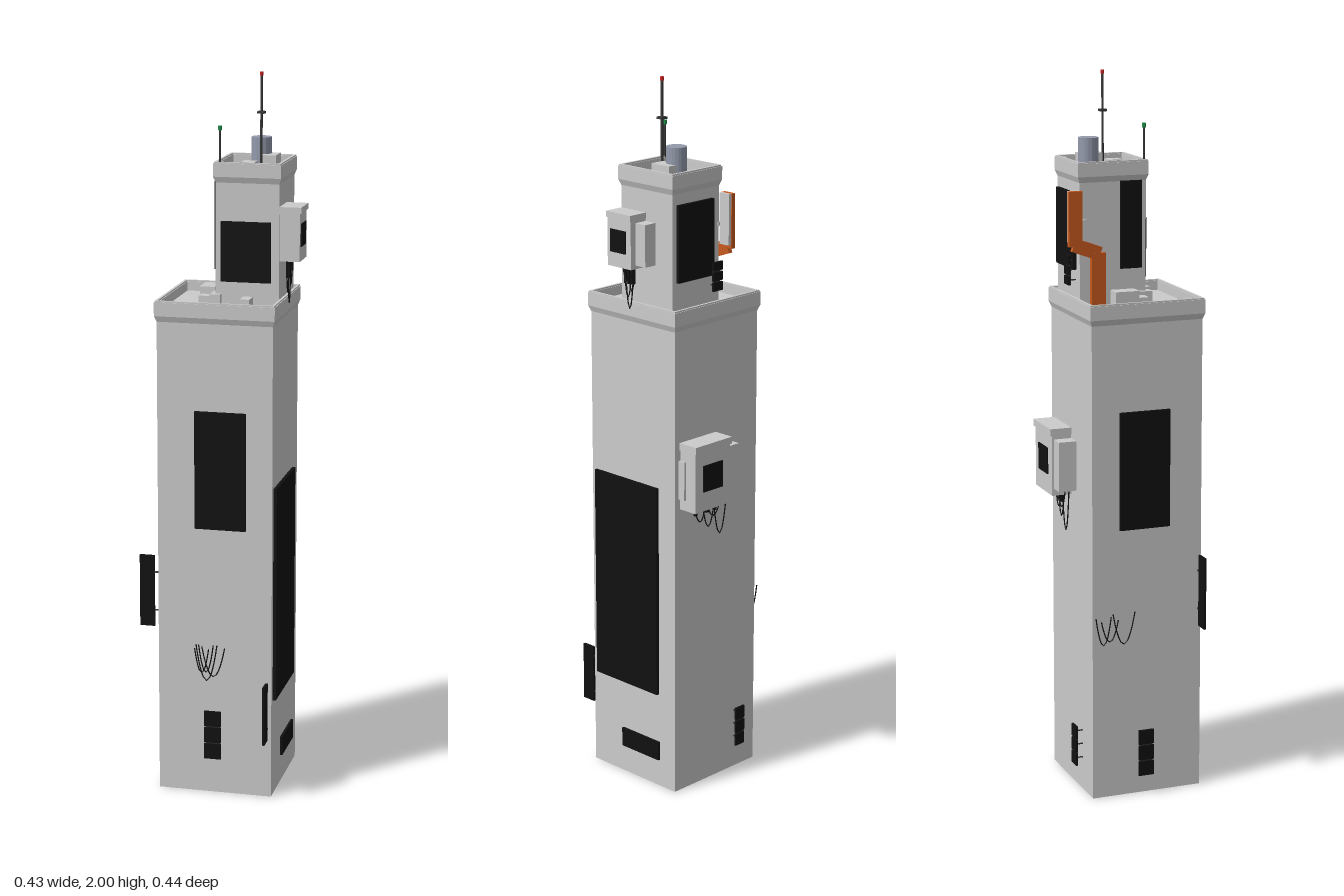
import * as THREE from 'three';

const mat = (color) => new THREE.MeshStandardMaterial({ color, flatShading: true });
const grey = mat(0xcccccc), black = mat(0x111111), dark = mat(0x383838);
const orange = mat(0xc85a1e), steel = mat(0x949aac), red = mat(0xcc2222), green = mat(0x1f8f4a);

export function createModel() {
  const model = new THREE.Group();

  const add = (name, geometry, material, parent = model) => {
    const m = new THREE.Mesh(geometry, material);
    m.name = name;
    parent.add(m);
    return m;
  };
  // Box given by its extents on each axis
  const box = (name, x0, x1, y0, y1, z0, z1, material = grey, parent = model) => {
    const m = add(name, new THREE.BoxGeometry(x1 - x0, y1 - y0, z1 - z0), material, parent);
    m.position.set((x0 + x1) / 2, (y0 + y1) / 2, (z0 + z1) / 2);
    return m;
  };
  const rod = (name, x, z, y0, y1, r, material, sides = 8) => {
    const m = add(name, new THREE.CylinderGeometry(r, r, y1 - y0, sides), material);
    m.position.set(x, (y0 + y1) / 2, z);
    return m;
  };

  // Square shaft with a flared rim around a sunken roof
  const tower = (name, x0, x1, z0, z1, y0, y1, rim, flare) => {
    const g = new THREE.Group();
    g.name = name;
    model.add(g);
    box('shaft', x0, x1, y0, y1 - 0.03, z0, z1, grey, g);
    const w = x1 - x0, d = z1 - z0;
    const ring = (out, inset) => {
      const s = new THREE.Shape();
      const rect = (p, o) => {
        p.moveTo(-w / 2 - o, -d / 2 - o);
        p.lineTo(w / 2 + o, -d / 2 - o);
        p.lineTo(w / 2 + o, d / 2 + o);
        p.lineTo(-w / 2 - o, d / 2 + o);
        p.closePath();
      };
      rect(s, out);
      const hole = new THREE.Path();
      rect(hole, -inset);
      s.holes.push(hole);
      return s;
    };
    const extrude = (part, shape, a, b) => {
      const geo = new THREE.ExtrudeGeometry(shape, { depth: b - a, bevelEnabled: false });
      geo.rotateX(-Math.PI / 2);
      const m = add(part, geo, grey, g);
      m.position.set((x0 + x1) / 2, a, (z0 + z1) / 2);
      return m;
    };
    extrude('parapet', ring(flare, 0.005), y1 - rim, y1 - 0.004);
    extrude('coping', ring(flare - 0.002, 0.003), y1 - 0.004, y1);
    // Sloped underside of the rim: outer corners move in at the bottom
    const slope = new THREE.BoxGeometry(w + 2 * flare, 0.016, d + 2 * flare);
    const p = slope.attributes.position;
    for (let i = 0; i < p.count; i++) {
      if (p.getY(i) < 0) p.setXYZ(i, Math.sign(p.getX(i)) * w / 2, p.getY(i), Math.sign(p.getZ(i)) * d / 2);
    }
    add('rimSlope', slope, grey, g).position.set((x0 + x1) / 2, y1 - rim - 0.008, (z0 + z1) / 2);
  };
  tower('mainTower', -0.161, 0.161, -0.159, 0.162, 0, 1.4, 0.042, 0.006);
  tower('upperTower', -0.024, 0.152, -0.142, 0.05, 1.36, 1.765, 0.04, 0.006);

  // Flat screens on the walls
  [
    ['frontScreen', -0.055, 0.088, 0.77, 1.10, 0.16, 0.171],
    ['rightScreen', 0.16, 0.17, 0.28, 0.89, -0.097, 0.145],
    ['rightLowScreen', 0.16, 0.168, 0.08, 0.135, -0.1, 0.045],
    ['leftScreen', -0.169, -0.16, 0.77, 1.10, -0.08, 0.066],
    ['upperFrontScreen', -0.008, 0.13, 1.44, 1.605, 0.045, 0.058],
    ['upperBackScreen', 0.003, 0.138, 1.47, 1.68, -0.152, -0.14],
    ['upperLeftScreen', -0.031, -0.02, 1.47, 1.71, -0.025, 0.036],
  ].forEach((s) => box(...s, black));

  // Thin blade signs
  box('rightBladeSign', 0.147, 0.154, 0.172, 0.34, 0.176, 0.217, black);
  box('leftBladeSign', -0.216, -0.174, 0.475, 0.68, 0.15, 0.156, black);
  for (const y of [0.2, 0.31]) box('rightBladeBracket', 0.149, 0.152, y, y + 0.004, 0.16, 0.178, dark);
  for (const y of [0.52, 0.63]) box('leftBladeBracket', -0.176, -0.16, y, y + 0.004, 0.1515, 0.1545, dark);

  // Stacked signs: three cells held off the wall by struts, built facing +z
  const stackedSign = (name, x, y, z, turn, width, cell) => {
    const g = new THREE.Group();
    g.name = name;
    for (let i = 0; i < 3; i++) {
      const y0 = (i - 1.5) * cell;
      box('signCell', -width / 2, width / 2, y0 + 0.002, y0 + cell - 0.002, -0.003, 0.003, black, g);
      box('strut', -0.0015, 0.0015, y0 + cell / 2 - 0.0015, y0 + cell / 2 + 0.0015, -0.026, -0.002, dark, g);
    }
    box('backing', -width / 2 + 0.004, width / 2 - 0.004, -1.4 * cell, 1.4 * cell, -0.005, -0.003, dark, g);
    g.position.set(x, y, z);
    g.rotation.y = turn;
    model.add(g);
  };
  stackedSign('frontStackedSign', -0.001, 0.178, 0.186, 0, 0.048, 0.048);
  stackedSign('leftStackedSign', -0.184, 0.125, -0.009, -Math.PI / 2, 0.045, 0.046);
  stackedSign('backStackedSign', -0.078, 0.135, -0.183, Math.PI, 0.035, 0.04);
  stackedSign('upperBackStackedSign', 0.006, 1.47, -0.167, Math.PI, 0.035, 0.028);

  // Hanging cables: sagging loops between two points along a wall
  const cables = (name, x, y, z, turn, loops) => {
    const g = new THREE.Group();
    g.name = name;
    loops.forEach(([a, b, top, sag], i) => {
      const pts = [];
      for (let k = 0; k <= 10; k++) {
        const t = k / 10;
        pts.push(new THREE.Vector3(a + (b - a) * t, top - sag * 4 * t * (1 - t), i * 0.0025));
      }
      add('cable', new THREE.TubeGeometry(new THREE.CatmullRomCurve3(pts), 16, 0.0018, 5), black, g);
    });
    g.position.set(x, y, z);
    g.rotation.y = turn;
    model.add(g);
  };
  cables('frontCables', -0.012, 0.44, 0.178, 0,
    [[-0.038, 0.022, 0, 0.105], [-0.03, 0.012, 0, 0.08], [-0.02, 0.045, -0.005, 0.085], [-0.04, 0.0, -0.01, 0.07]]);
  cables('leftCables', -0.176, 0.53, -0.1, -Math.PI / 2,
    [[-0.055, -0.01, 0, 0.08], [-0.04, 0.01, -0.01, 0.06], [-0.007, 0.058, 0.01, 0.09]]);
  cables('backBoxCables', 0.05, 0.85, -0.172, Math.PI,
    [[-0.05, 0.0, 0, 0.06], [-0.02, 0.03, 0, 0.08], [0.02, 0.075, 0.01, 0.12], [-0.01, 0.05, 0, 0.05]]);
  cables('rightBoxCables', 0.168, 1.5, 0.003, Math.PI / 2,
    [[-0.022, 0.008, 0, 0.09], [-0.015, 0.018, 0, 0.12], [0.0, 0.024, 0, 0.07], [-0.02, 0.02, 0, 0.05]]);
  for (const z of [-0.012, 0.002, 0.014]) box('junctionBox', 0.165, 0.176, 1.45, 1.49, z - 0.004, z + 0.004, black);
  for (const x of [0.025, 0.055, 0.1]) box('cablePlug', x - 0.004, x + 0.004, 0.815, 0.85, -0.182, -0.174, black);

  // Wall cabin on the back of the main tower
  box('backCabin', 0.004, 0.14, 0.84, 1.01, -0.216, -0.155);
  box('backCabinRoof', 0.002, 0.143, 1.01, 1.03, -0.221, -0.155);
  box('backCabinSide', -0.037, 0.004, 0.86, 1.0, -0.21, -0.155);
  box('backCabinScreen', 0.035, 0.11, 0.895, 0.97, -0.219, -0.21, black);
  box('backCabinPipe', 0.14, 0.146, 0.87, 0.98, -0.18, -0.155);

  // Wall cabin on the right of the upper tower
  box('rightCabin', 0.15, 0.208, 1.5, 1.632, -0.042, 0.046);
  box('rightCabinRoof', 0.15, 0.212, 1.632, 1.648, -0.044, 0.048);
  box('rightCabinSide', 0.15, 0.19, 1.51, 1.625, -0.078, -0.042);
  box('rightCabinScreen', 0.2, 0.211, 1.54, 1.602, -0.024, 0.034, black);

  // Orange duct stepping down the upper tower, with its grey backing
  box('ductUpper', -0.047, -0.034, 1.54, 1.69, -0.18, -0.142, orange);
  box('ductUpperBack', -0.034, -0.025, 1.55, 1.69, -0.178, -0.144);
  box('ductLower', -0.047, -0.03, 1.375, 1.52, -0.115, -0.075, orange);
  const jog = box('ductJog', -0.046, -0.032, 1.512, 1.55, -0.168, -0.088, orange);
  jog.rotation.x = 0.35;
  box('ductBracket', -0.036, -0.02, 1.6, 1.61, -0.145, -0.125);
  box('ductBracket', -0.036, -0.02, 1.45, 1.46, -0.1, -0.09);

  // Equipment on the two roofs
  [
    [-0.079, -0.036, 1.36, 1.415, -0.058, 0.01],
    [-0.075, -0.036, 1.36, 1.395, 0.01, 0.04],
    [-0.038, -0.008, 1.36, 1.405, -0.005, 0.065],
    [0.053, 0.08, 1.36, 1.4, 0.05, 0.094],
    [0.035, 0.073, 1.73, 1.76, -0.035, 0.005],
    [0.08, 0.123, 1.73, 1.775, -0.1, -0.035],
  ].forEach((b) => box('roofUnit', ...b));
  rod('waterTank', 0.074, -0.08, 1.73, 1.82, 0.028, steel, 20);

  // Masts with signal lamps
  rod('mainMast', 0.083, -0.035, 1.73, 1.992, 0.0035, dark);
  rod('mainMastTip', 0.083, -0.035, 1.99, 2.0, 0.005, red);
  box('mastPlatform', 0.073, 0.093, 1.888, 1.894, -0.045, -0.025, dark);
  rod('cornerMast', -0.012, 0.049, 1.73, 1.852, 0.003, dark);
  rod('cornerMastTip', -0.012, 0.049, 1.85, 1.862, 0.006, green);

  return model;
}
